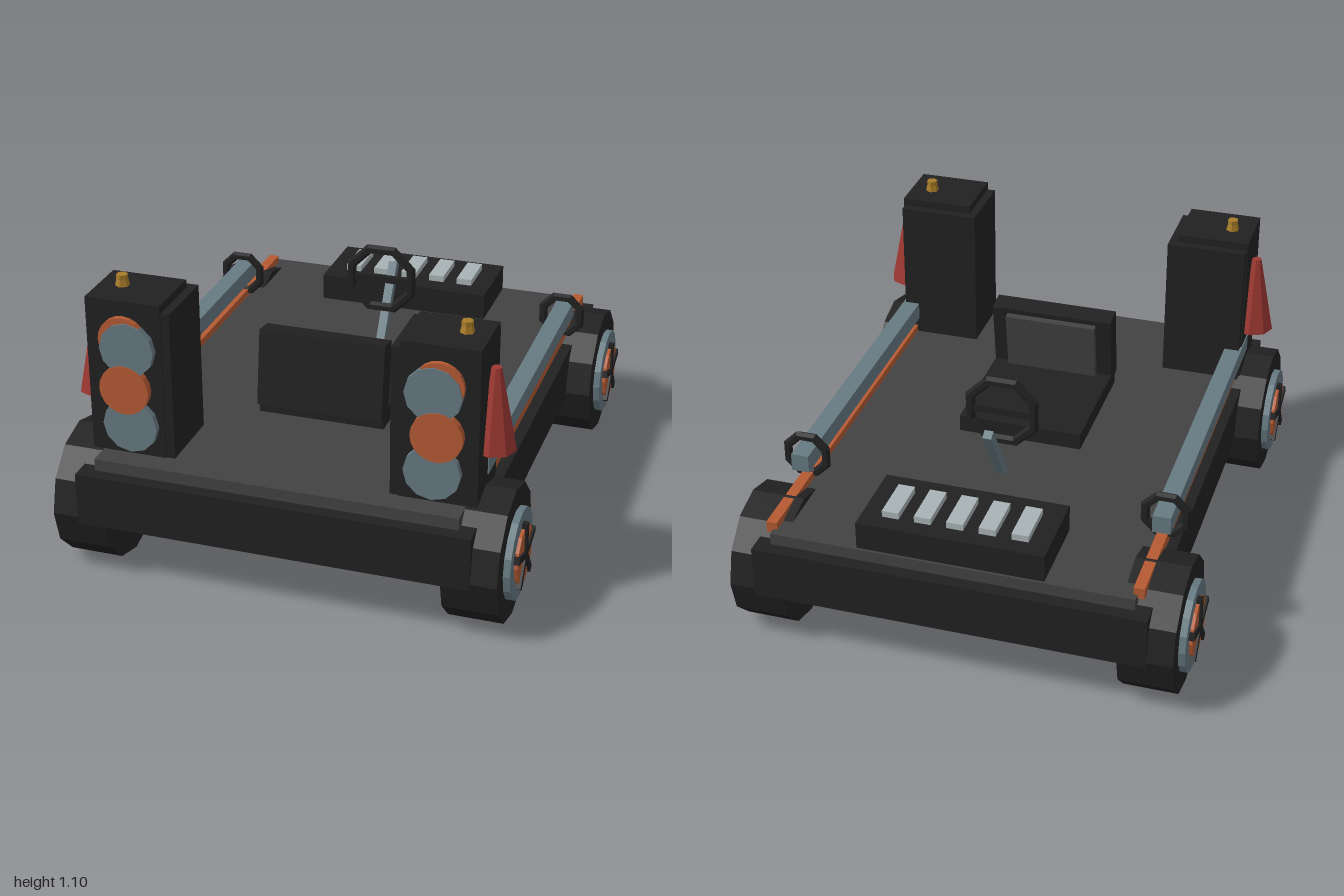
import * as THREE from 'three';

export function createModel() {
  const model = new THREE.Group();
  model.name = 'utilityCart';

  const mat = (name, color) => {
    const m = new THREE.MeshStandardMaterial({ color, flatShading: true });
    m.name = name;
    return m;
  };
  const black = mat('black', 0x212121);
  const grey = mat('deckGrey', 0x424242);
  const steel = mat('blueSteel', 0x667a82);
  const orange = mat('orange', 0xb55a33);
  const red = mat('red', 0x9e3832);
  const gold = mat('gold', 0xa87c28);
  const pale = mat('paleGrey', 0xa9b3b6);

  const add = (parent, name, geo, material, x = 0, y = 0, z = 0) => {
    const mesh = new THREE.Mesh(geo, material);
    mesh.name = name;
    mesh.position.set(x, y, z);
    parent.add(mesh);
    return mesh;
  };
  // Box given by its extents; s = -1 mirrors it in x
  const box = (parent, name, material, x0, x1, y0, y1, z0, z1, s = 1) =>
    add(parent, name, new THREE.BoxGeometry(x1 - x0, y1 - y0, z1 - z0), material,
      s * (x0 + x1) / 2, (y0 + y1) / 2, (z0 + z1) / 2);
  // Cylinder lying along x
  const axle = (r, len, sides) => new THREE.CylinderGeometry(r, r, len, sides).rotateZ(Math.PI / 2);
  // Octagonal ring with a flat top
  const ring = (r, tube) => new THREE.TorusGeometry(r, tube, 6, 8).rotateZ(Math.PI / 8);

  // Chassis and deck
  box(model, 'chassis', black, -0.725, 0.725, 0.225, 0.425, -1, 1);
  box(model, 'deck', grey, -0.67, 0.67, 0.4, 0.47, -0.95, 0.95);

  // Wheels: tyre, rim, hub disc and five spokes
  for (const s of [-1, 1]) for (const z of [-0.75, 0.75]) {
    const wheel = new THREE.Group();
    wheel.name = 'wheel';
    wheel.position.set(s * 0.72, 0.25, z);
    add(wheel, 'tyre', axle(0.25, 0.2, 12), black);
    add(wheel, 'rim', axle(0.168, 0.03, 16), steel, s * 0.11);
    add(wheel, 'hubDisc', axle(0.11, 0.03, 12), orange, s * 0.122);
    for (let i = 0; i < 5; i++) {
      const spoke = new THREE.BoxGeometry(0.03, 0.125, 0.026).translate(0, 0.0625, 0);
      spoke.rotateX(i * Math.PI * 2 / 5);
      add(wheel, 'spoke', spoke, black, s * 0.13);
    }
    model.add(wheel);
  }

  for (const s of [-1, 1]) {
    // Lamp tower
    const tower = new THREE.Group();
    tower.name = 'lampTower';
    box(tower, 'towerBody', black, 0.43, 0.71, 0.465, 1.06, 0.62, 0.863, s);
    box(tower, 'towerBack', black, 0.398, 0.705, 0.465, 1.03, 0.587, 0.858, s);
    const lamps = [
      [0.57, 0.915, 0.09, 0.022, orange], [0.553, 0.885, 0.102, 0.028, steel],
      [0.568, 0.73, 0.093, 0.032, orange], [0.553, 0.59, 0.102, 0.028, steel],
    ];
    for (const [x, y, r, depth, m] of lamps) {
      const disc = new THREE.CylinderGeometry(r, r, depth, m === orange ? 20 : 12).rotateX(Math.PI / 2);
      add(tower, 'lamp', disc, m, s * x, y, 0.86 + depth / 2);
    }
    add(tower, 'beaconBase', new THREE.CylinderGeometry(0.02, 0.027, 0.03, 6), gold, s * 0.625, 1.073, 0.73);
    add(tower, 'beaconCap', new THREE.CylinderGeometry(0.021, 0.021, 0.02, 6), gold, s * 0.625, 1.092, 0.73);
    add(tower, 'sideCone', new THREE.CylinderGeometry(0.018, 0.08, 0.305, 8), red, s * 0.73, 0.793, 0.73);
    model.add(tower);

    // Side rails and the ring round the upper one
    box(model, 'upperRail', steel, 0.647, 0.714, 0.532, 0.6, -0.63, 0.73, s);
    box(model, 'lowerRail', orange, 0.655, 0.695, 0.455, 0.498, -0.92, 0.6, s);
    add(model, 'railRing', ring(0.08, 0.018), black, s * 0.68, 0.565, -0.56);
  }

  // Seat with a tilted back
  box(model, 'seatBase', black, -0.24, 0.24, 0.465, 0.535, -0.1, 0.42);
  const back = new THREE.Group();
  back.name = 'seatBack';
  box(back, 'backrest', black, -0.24, 0.24, -0.145, 0.145, -0.042, 0.042);
  box(back, 'backPad', grey, -0.18, 0.18, -0.12, 0.125, -0.068, -0.04);
  back.position.set(0, 0.65, 0.387);
  back.rotation.x = -0.14;
  model.add(back);

  // Steering wheel on its slanting column
  add(model, 'steeringWheel', ring(0.131, 0.02), black, 0, 0.73, -0.32);
  box(model, 'steeringSpoke', black, -0.125, 0.125, 0.717, 0.743, -0.33, -0.31);
  const column = add(model, 'steeringColumn', new THREE.BoxGeometry(0.034, 0.32, 0.034), steel, 0, 0.595, -0.405);
  column.rotation.x = -0.56;

  // Rear console with five slats
  box(model, 'console', black, -0.345, 0.345, 0.465, 0.575, -0.94, -0.62);
  for (let i = -2; i <= 2; i++) {
    const x = i * 0.119;
    box(model, 'consoleSlat', pale, x - 0.031, x + 0.031, 0.57, 0.6, -0.875, -0.7);
  }

  return model;
}
